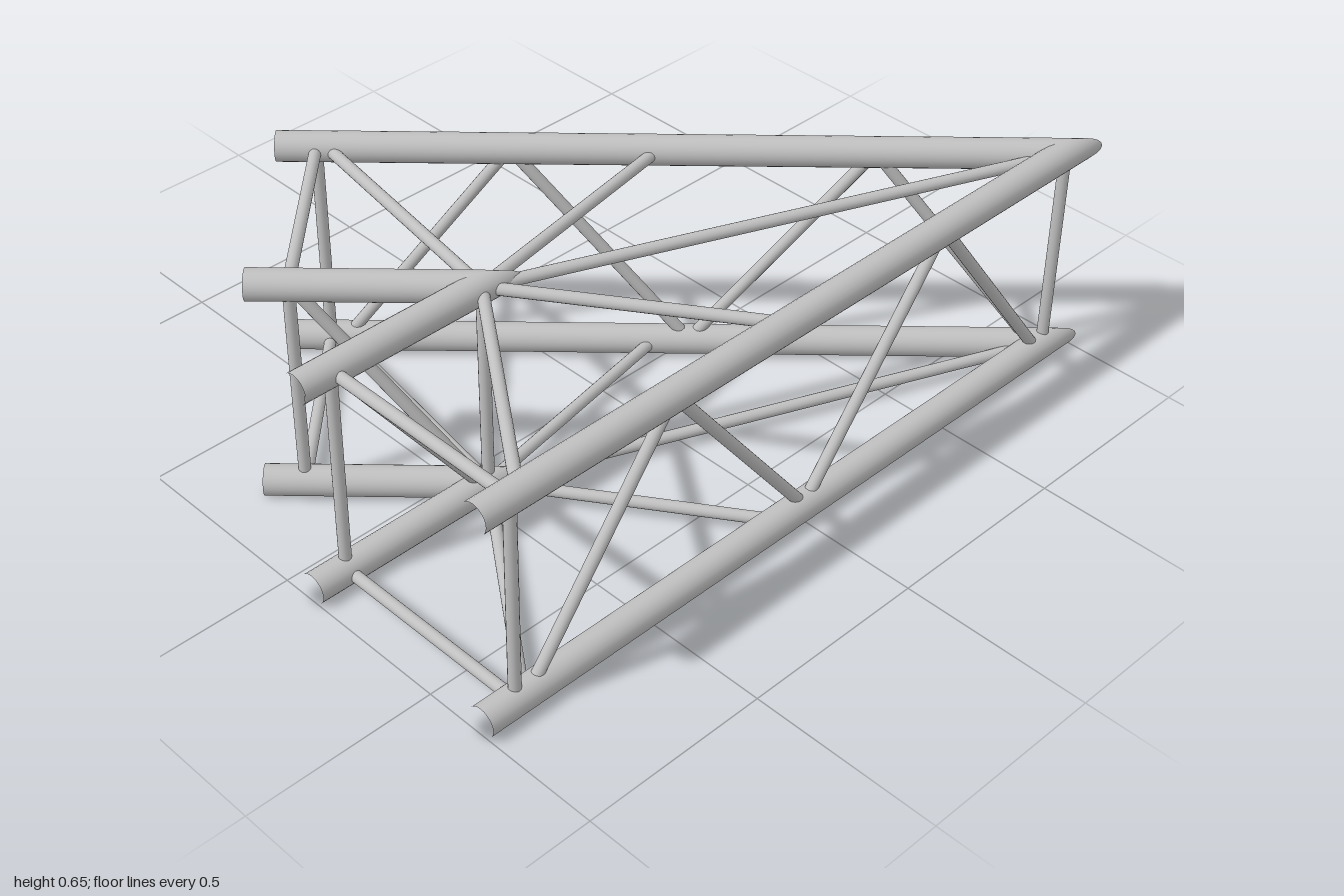
import * as THREE from 'three';

const R = 0.0385;            // chord radius
const BRACE_R = 0.0152;      // brace radius
const LOW = R, HIGH = 0.611; // chord heights
const OUTER = { x: 0.907, z: 0.667 };  // mitre points of the two legs
const INNER = { x: -0.469, z: 0.097 };
const MITRE = 1 / Math.tan(Math.PI / 8);

const steel = new THREE.MeshStandardMaterial({ color: 0xc0c0c0 });
steel.name = 'silver';

// Reflects a point across the vertical mitre plane, onto the angled leg
function mirror(p) {
  const dx = p.x - OUTER.x, dz = p.z - OUTER.z, k = Math.SQRT1_2;
  return new THREE.Vector3(OUTER.x + k * (dx + dz), p.y, OUTER.z + k * (dx - dz));
}

// Open tube running back from a mitred corner
function chord(corner, y, angled) {
  const length = corner.x + 1;
  const geo = new THREE.CylinderGeometry(R, R, length, 24, 1, true);
  geo.rotateZ(-Math.PI / 2).translate(-length / 2, 0, 0);
  const pos = geo.attributes.position;
  const side = angled ? -1 : 1;
  for (let i = 0; i < pos.count; i++) {
    if (pos.getX(i) > -1e-4) pos.setX(i, side * pos.getZ(i) * MITRE);
  }
  const mesh = new THREE.Mesh(geo, steel);
  mesh.position.set(corner.x, y, corner.z);
  if (angled) mesh.rotation.y = -Math.PI / 4;
  return mesh;
}

// Thin round strut between two points
function strut(a, b) {
  const dir = b.clone().sub(a);
  const geo = new THREE.CylinderGeometry(BRACE_R, BRACE_R, dir.length(), 16, 1, true);
  const mesh = new THREE.Mesh(geo, steel);
  mesh.position.copy(a).add(b).multiplyScalar(0.5);
  mesh.quaternion.setFromUnitVectors(new THREE.Vector3(0, 1, 0), dir.normalize());
  return mesh;
}

export function createModel() {
  const model = new THREE.Group();
  model.name = 'trussCorner';
  const add = (mesh, name) => { mesh.name = name; model.add(mesh); };
  const v = (x, y, z) => new THREE.Vector3(x, y, z);
  const pair = (a, b, name) => {
    add(strut(a, b), name + 'Front');
    add(strut(mirror(a), mirror(b)), name + 'Angled');
  };

  // Eight main chords
  for (const y of [LOW, HIGH]) {
    for (const angled of [false, true]) {
      add(chord(OUTER, y, angled), 'outerChord');
      add(chord(INNER, y, angled), 'innerChord');
    }
  }

  // Uprights at the corners and leg ends
  for (const c of [OUTER, INNER]) {
    add(strut(v(c.x, LOW, c.z), v(c.x, HIGH, c.z)), 'cornerUpright');
    pair(v(-0.903, LOW, c.z), v(-0.903, HIGH, c.z), 'endUpright');
  }

  // Zigzag on the outer faces
  const nodes = [-0.86, -0.435, 0.01, 0.45, 0.88];
  for (let i = 0; i < 4; i++) {
    const [y0, y1] = i % 2 ? [HIGH, LOW] : [LOW, HIGH];
    pair(v(nodes[i], y0, OUTER.z), v(nodes[i + 1], y1, OUTER.z), 'outerDiagonal');
  }

  // Single diagonal on the inner faces
  pair(v(-0.9, HIGH, INNER.z), v(-0.485, LOW, INNER.z), 'innerDiagonal');

  // Top and bottom bracing
  for (const y of [LOW, HIGH]) {
    const hub = v(INNER.x, y, INNER.z);
    add(strut(hub, v(OUTER.x, y, OUTER.z)), 'mitreBrace');
    pair(v(-0.903, y, INNER.z), v(-0.903, y, OUTER.z), 'endCrossbar');
    pair(hub, v(-0.88, y, OUTER.z), 'longBrace');
    pair(hub, v(-0.075, y, OUTER.z), 'middleBrace');
  }
  return model;
}
